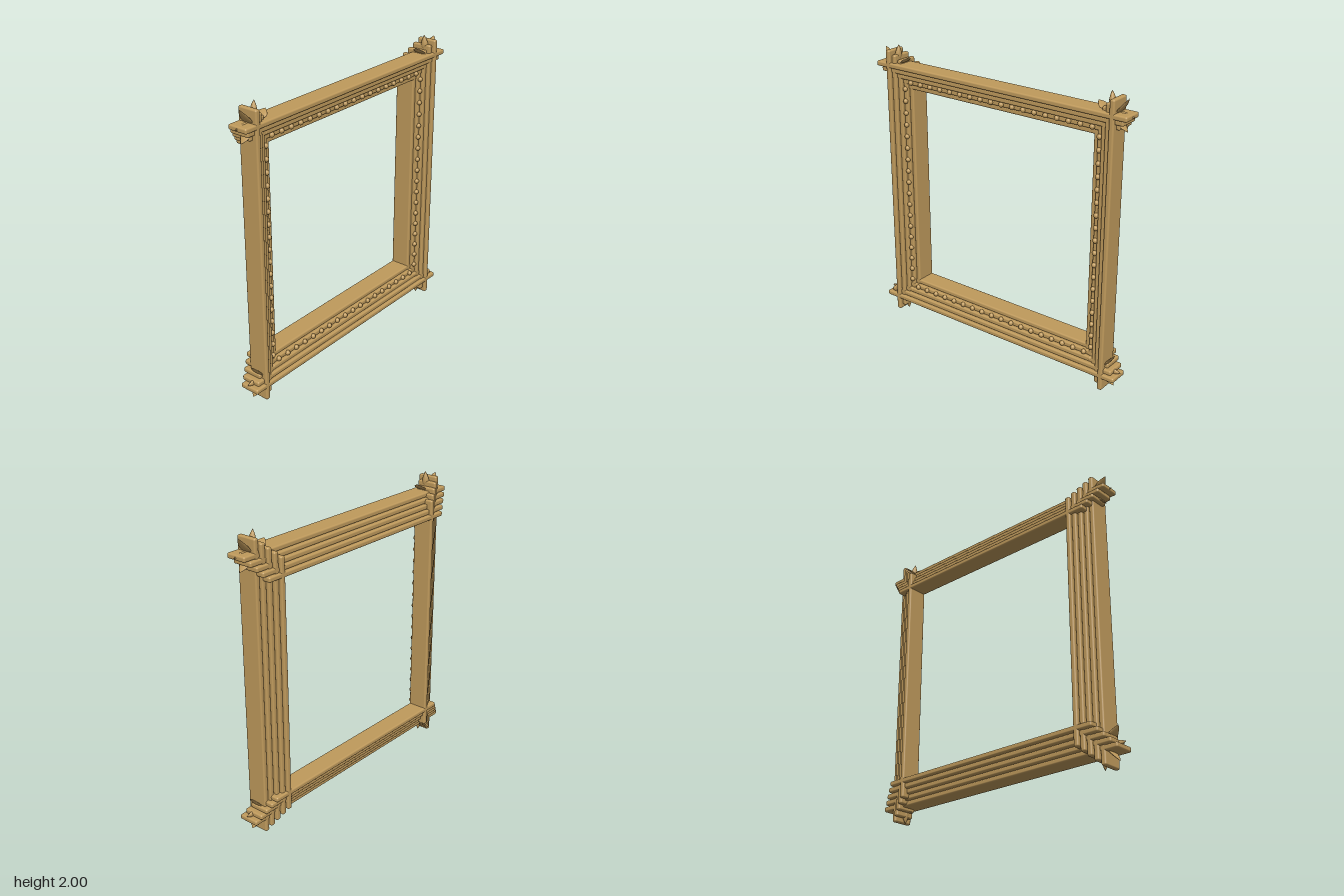
import * as THREE from 'three';
import { RoundedBoxGeometry } from 'three/addons/geometries/RoundedBoxGeometry.js';

const CENTRE_Y = 0.9875;

export function createModel() {
  const model = new THREE.Group();
  model.name = 'pictureFrame';
  const wood = new THREE.MeshStandardMaterial({ color: 0xbf9a5c });
  wood.name = 'goldenWood';

  const add = (geometry, name, x, y, z, parent = model) => {
    const mesh = new THREE.Mesh(geometry, wood);
    mesh.name = name;
    mesh.position.set(x, y, z);
    parent.add(mesh);
    return mesh;
  };

  // Five nested layers of crossing slats, each one smaller and further back
  for (let i = 0; i < 5; i++) {
    const layer = new THREE.Group();
    layer.name = 'slatLayer' + (i + 1);
    model.add(layer);
    const offset = 0.875 - i * 0.0348;
    const length = 2 * (0.978 - i * 0.0315);
    const z = 0.035 - i * 0.0175;
    const across = new RoundedBoxGeometry(length, 0.0345, 0.14, 3, 0.011);
    const upright = new RoundedBoxGeometry(0.0345, length, 0.14, 3, 0.011);
    for (const s of [-1, 1]) {
      add(across, 'horizontalSlat', 0, CENTRE_Y + s * offset, z, layer);
      add(upright, 'verticalSlat', s * offset, CENTRE_Y, z, layer);
    }
  }

  // Beading along the front of the fourth layer
  const beads = new THREE.Group();
  beads.name = 'beading';
  model.add(beads);
  const bead = new THREE.SphereGeometry(0.0175, 12, 8);
  const pitch = 0.0845;
  for (const s of [-1, 1]) {
    for (let i = 0; i < 18; i++) {
      add(bead, 'bead', (i - 8.5) * pitch, CENTRE_Y + s * 0.771, 0.055, beads);
    }
    for (let i = 0; i < 20; i++) {
      add(bead, 'bead', s * 0.771, CENTRE_Y + (i - 9.5) * pitch, 0.055, beads);
    }
  }

  // Pointed leaf along +y, one unit long and one unit wide
  const profile = [[0, 0], [0.25, 0.08], [0.42, 0.2], [0.5, 0.36], [0.46, 0.52],
    [0.34, 0.7], [0.17, 0.87], [0, 1]].map(([r, y]) => new THREE.Vector2(r, y));
  const leafShape = new THREE.LatheGeometry(profile, 12);

  // Leaf from base to tip: wide is its size across the front, deep its size in z
  const addLeaf = (parent, [x0, y0], [x1, y1], wide, deep, z = 0.035) => {
    const leaf = add(leafShape, 'leaf', x0, y0, z, parent);
    leaf.scale.set(wide, Math.hypot(x1 - x0, y1 - y0), deep);
    leaf.rotation.z = Math.atan2(x0 - x1, y1 - y0);
  };

  // Sprigs of leaves at the corners: [base, tip, width, depth]
  const topLeaves = [
    [[0.87, 1.86], [0.95, 1.97], 0.018, 0.09],
    [[0.80, 1.88], [0.742, 1.925], 0.016, 0.09],
    [[0.87, 1.84], [0.95, 1.765], 0.018, 0.08],
    [[0.845, 1.88], [0.832, 2.0], 0.045, 0.05],
    [[0.87, 1.865], [0.992, 1.862], 0.045, 0.03],
    [[0.835, 1.83], [0.79, 1.895], 0.04, 0.03],
  ];
  const bottomLeaves = [
    [[0.87, 0.165], [0.945, 0.257], 0.018, 0.09],
    [[0.87, 0.13], [0.945, 0.035], 0.018, 0.09],
    [[0.845, 0.12], [0.835, 0.0], 0.045, 0.05],
    [[0.87, 0.14], [0.992, 0.145], 0.045, 0.03],
    [[0.835, 0.11], [0.785, 0.072], 0.018, 0.08],
  ];
  for (const s of [-1, 1]) {
    for (const [list, where] of [[topLeaves, 'top'], [bottomLeaves, 'bottom']]) {
      const sprig = new THREE.Group();
      sprig.name = where + (s > 0 ? 'Left' : 'Right') + 'Sprig';
      model.add(sprig);
      for (const [a, b, wide, deep] of list) {
        addLeaf(sprig, [s * a[0], a[1]], [s * b[0], b[1]], wide, deep);
      }
    }
  }
  return model;
}
